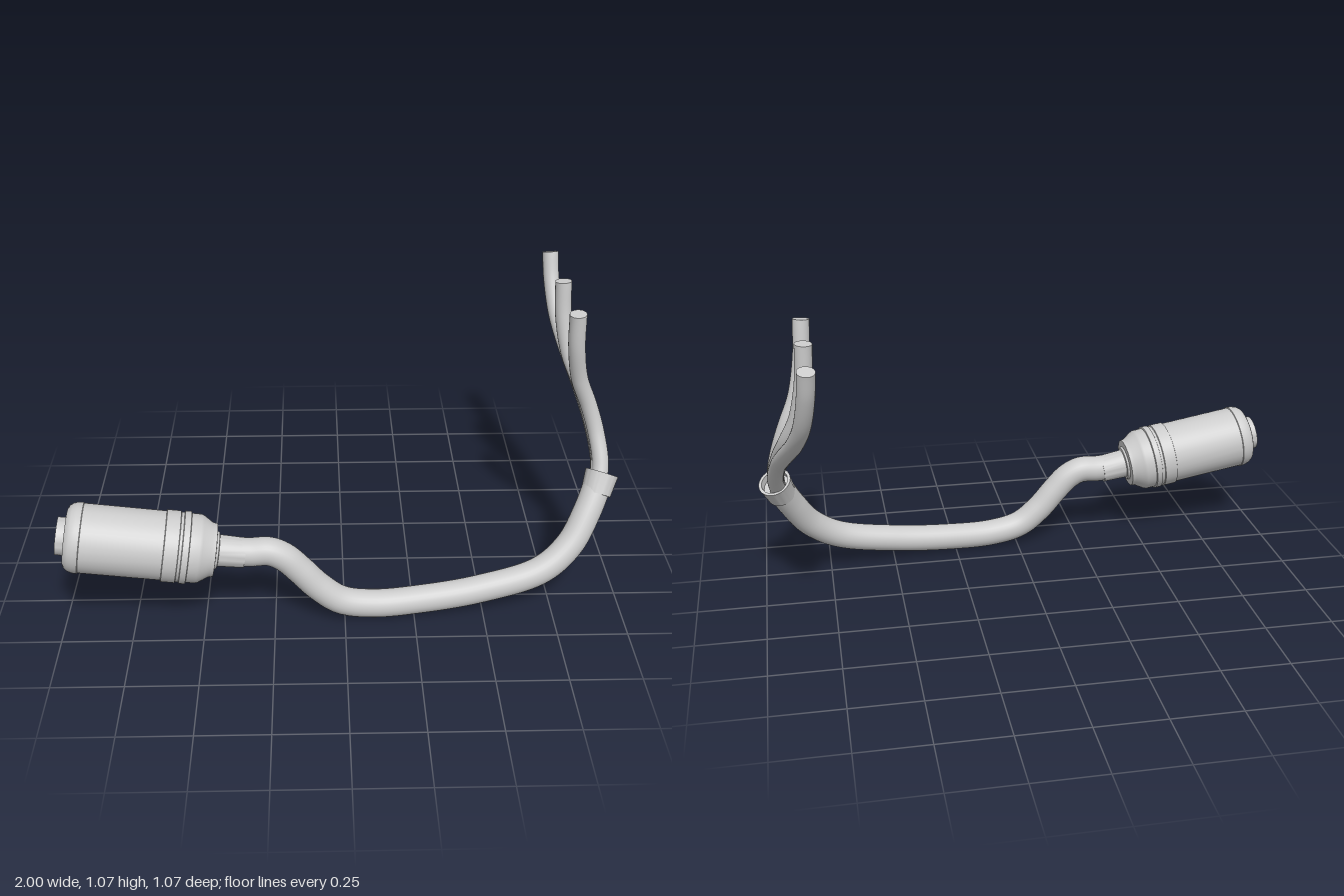
import * as THREE from 'three';
import { toCreasedNormals } from 'three/addons/utils/BufferGeometryUtils.js';

const V = (p) => new THREE.Vector3(...p);

export function createModel() {
  const model = new THREE.Group();
  const grey = new THREE.MeshStandardMaterial({ color: 0xcccccc });
  grey.name = 'light grey';

  const add = (name, geometry, parent = model) => {
    const mesh = new THREE.Mesh(geometry, grey);
    mesh.name = name;
    parent.add(mesh);
    return mesh;
  };

  // Turned part: profile of [radius, distance] along the axis from one point to another
  const turned = (name, profile, from, to) => {
    const points = profile.map(([r, s]) => new THREE.Vector2(r, s));
    const mesh = add(name, toCreasedNormals(new THREE.LatheGeometry(points, 48), 0.5));
    const axis = V(to).sub(V(from)).normalize();
    mesh.quaternion.setFromUnitVectors(new THREE.Vector3(0, 1, 0), axis);
    mesh.position.copy(V(from));
  };

  // Round hose along a smooth path, with a flat cap on its far end
  const hose = (name, path, radius, segments) => {
    const group = new THREE.Group();
    group.name = name;
    const curve = new THREE.CatmullRomCurve3(path.map(V), false, 'centripetal');
    add(name + 'Tube', new THREE.TubeGeometry(curve, segments, radius, 28), group);
    const cap = add(name + 'Cap', new THREE.CircleGeometry(radius, 28), group);
    cap.position.copy(curve.getPoint(1));
    cap.quaternion.setFromUnitVectors(new THREE.Vector3(0, 0, 1), curve.getTangent(1));
    model.add(group);
  };

  // Canister: recessed inner pipe, rounded lip, body, raised bands, tapered neck, sleeve
  turned('canister', [
    [0, 0], [0.066, 0], [0.066, 0.08], [0.09, 0.08], [0.09, 0.032], [0.097, 0.03],
    [0.109, 0.036], [0.118, 0.048], [0.123, 0.064], [0.124, 0.082], [0.121, 0.084],
    [0.121, 0.366], [0.126, 0.368], [0.126, 0.416], [0.122, 0.418], [0.122, 0.428],
    [0.127, 0.43], [0.127, 0.452], [0.121, 0.454], [0.121, 0.488], [0.117, 0.498],
    [0.096, 0.53], [0.093, 0.546], [0.068, 0.548], [0.064, 0.556],
    [0.056, 0.558], [0.053, 0.65], [0, 0.65],
  ], [-0.993, 0.39, 0.415], [-0.35, 0.289, 0.383]);

  // Main hose
  hose('mainHose', [
    [-0.4, 0.297, 0.385], [-0.33, 0.292, 0.383], [-0.265, 0.293, 0.382], [-0.212, 0.267, 0.382],
    [-0.158, 0.212, 0.381], [-0.094, 0.14, 0.379], [-0.013, 0.078, 0.376], [0.104, 0.054, 0.366],
    [0.275, 0.058, 0.349], [0.49, 0.082, 0.325], [0.714, 0.136, 0.288], [0.82, 0.216, 0.243],
    [0.885, 0.323, 0.188], [0.925, 0.41, 0.14],
  ], 0.051, 120);

  // Collar where the hose splits, open at the top
  turned('splitCollar', [
    [0, 0], [0.054, 0], [0.06, 0.073], [0.061, 0.078], [0.05, 0.078], [0.05, 0.05], [0, 0.05],
  ], [0.917, 0.378, 0.156], [0.942, 0.447, 0.118]);

  // All branches share one x-by-height bend
  const bend = [
    [0.4, 0.928], [0.48, 0.935], [0.53, 0.93], [0.6, 0.913], [0.7, 0.879],
    [0.8, 0.838], [0.93, 0.815], [1.06, 0.807],
  ];
  const xAt = (y) => {
    const i = Math.max(1, bend.findIndex(([h]) => h >= y));
    const [[y0, x0], [y1, x1]] = [bend[i - 1], bend[i]];
    return x0 + ((x1 - x0) * (y - y0)) / (y1 - y0);
  };

  // Branches as [height, z] paths
  const branches = {
    frontBranch: [[0.41, 0.137], [0.48, 0.101], [0.584, 0.055], [0.685, 0.042],
      [0.79, 0.053], [0.93, 0.082], [1.06, 0.097]],
    middleBranch: [[0.41, 0.13], [0.5, 0.062], [0.604, -0.036], [0.69, -0.12],
      [0.79, -0.171], [0.93, -0.197], [1.06, -0.205]],
    backBranch: [[0.41, 0.125], [0.478, 0.062], [0.57, -0.042], [0.66, -0.183],
      [0.757, -0.327], [0.847, -0.413], [0.965, -0.476], [1.06, -0.506]],
  };
  for (const [name, path] of Object.entries(branches)) {
    hose(name, path.map(([y, z]) => [xAt(y), y, z]), 0.03, 60);
  }

  return model;
}
